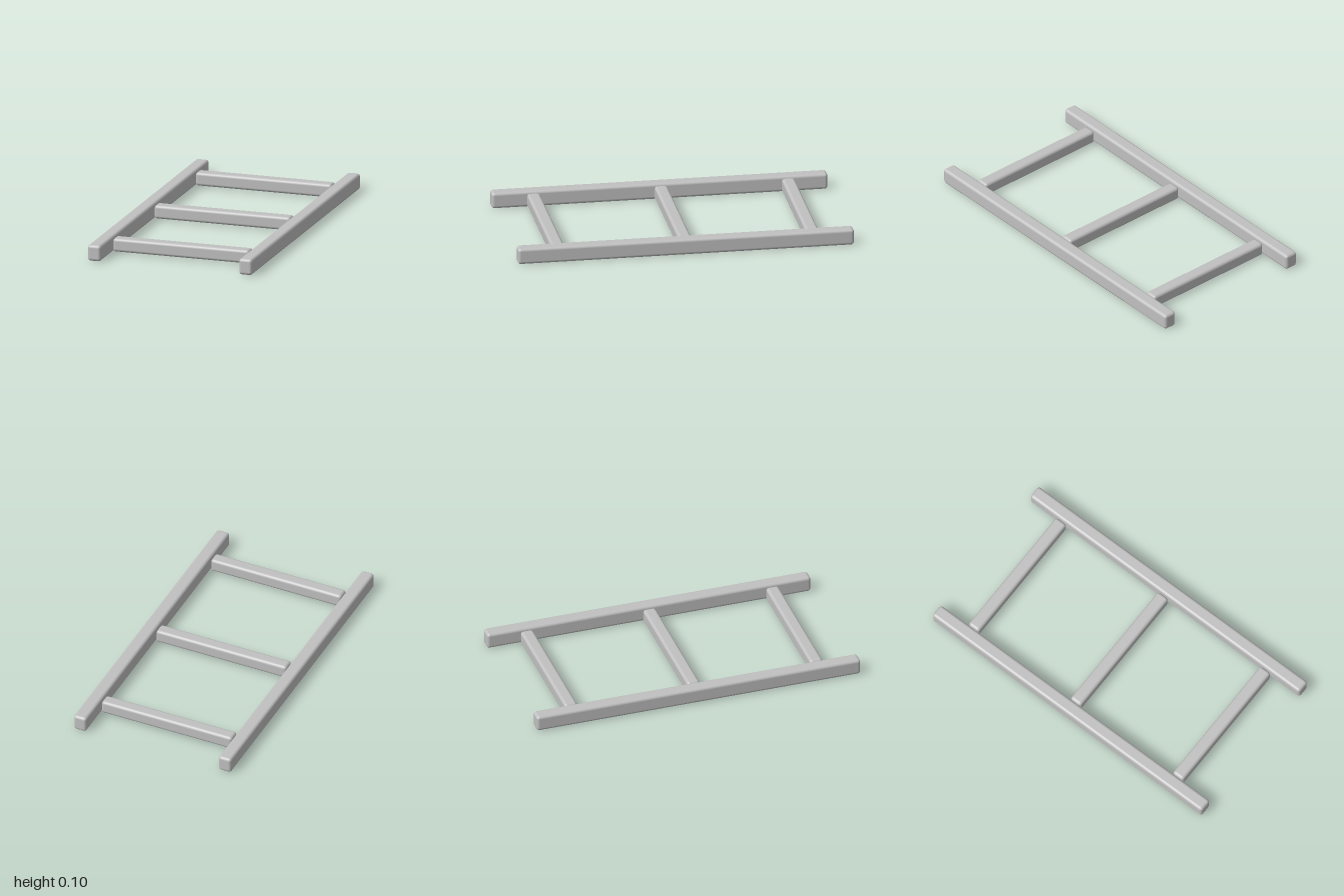
import * as THREE from 'three';
import { RoundedBoxGeometry } from 'three/addons/geometries/RoundedBoxGeometry.js';

export function createModel() {
  const group = new THREE.Group();
  group.name = 'ladder';
  const grey = new THREE.MeshStandardMaterial({ color: 0xc0c0c0 });
  grey.name = 'grey';

  function addBar(name, size, position) {
    const bar = new THREE.Mesh(new RoundedBoxGeometry(...size, 3, 0.018), grey);
    bar.name = name;
    bar.position.set(...position);
    group.add(bar);
  }

  // Long side rails
  for (const [name, side] of [['leftRail', 1], ['rightRail', -1]]) {
    addBar(name, [0.082, 0.097, 2], [side * 0.469, 0.0485, 0]);
  }

  // Cross rungs, stopping just short of the rails
  for (const [name, z] of [['backRung', -0.761], ['middleRung', -0.004], ['frontRung', 0.755]]) {
    addBar(name, [0.845, 0.081, 0.078], [0, 0.0495, z]);
  }

  return group;
}
